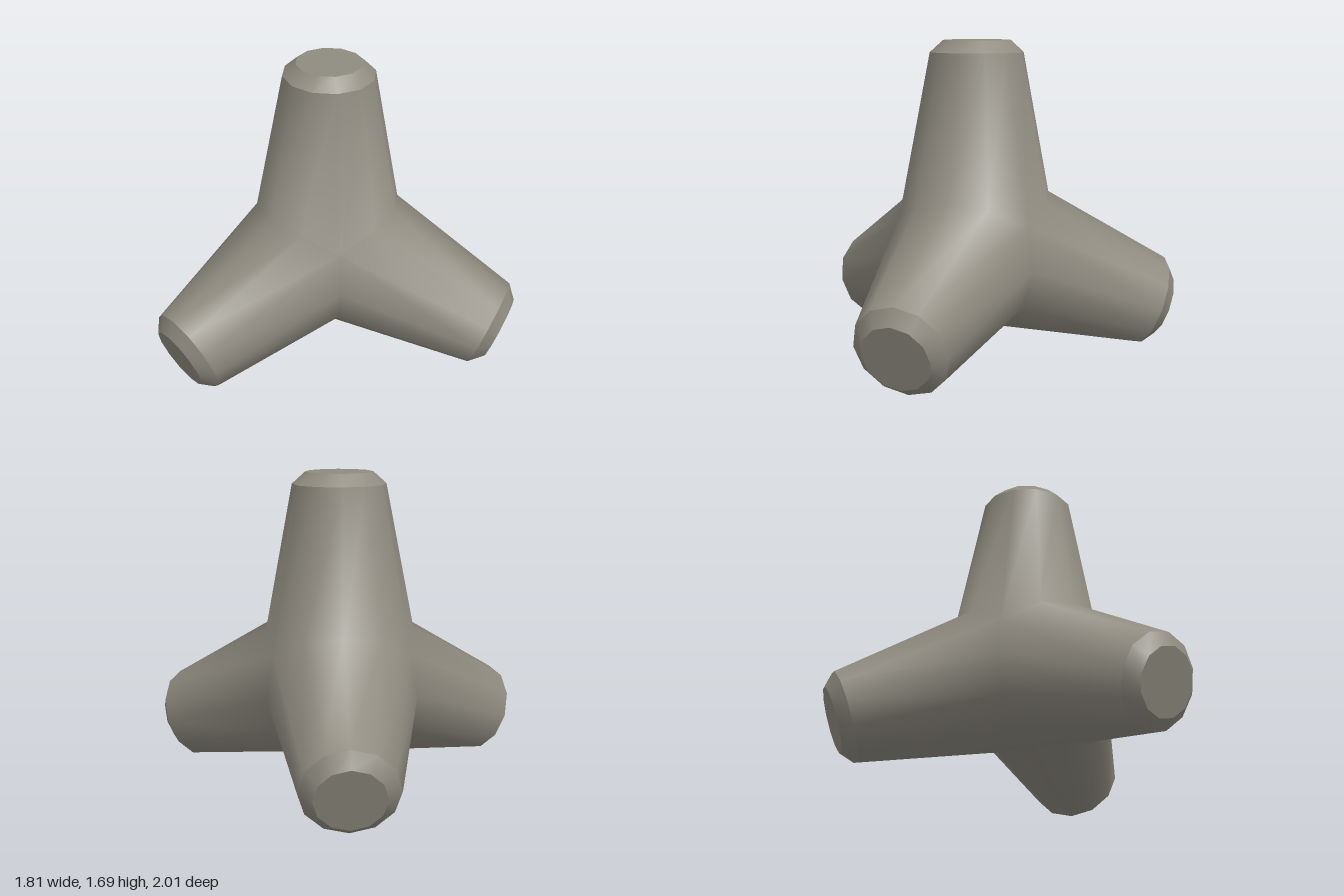
import * as THREE from 'three';
import { mergeVertices } from 'three/addons/utils/BufferGeometryUtils.js';

const SIDES = 12;
const RIM_AT = 1.038, RIM_R = 0.253; // where the taper ends and the chamfer starts
const TIP_AT = 1.102, TIP_R = 0.182;
const TAPER = 0.19;
const ROOT_R = RIM_R + TAPER * RIM_AT; // radius of the cone at the hub centre
const COS = Math.sqrt(8) / 3; // cosine of the low legs' slope

export function createModel() {
  const model = new THREE.Group();
  const concrete = new THREE.MeshStandardMaterial({ color: 0x8f8b80 });
  concrete.name = 'concrete';

  // four axes of a regular tetrahedron: one up, three spread below
  const axes = [new THREE.Vector3(0, 1, 0)];
  for (let k = 0; k < 3; k++) {
    const a = Math.PI + k * Math.PI * 2 / 3;
    axes.push(new THREE.Vector3(COS * Math.cos(a), -1 / 3, COS * Math.sin(a)));
  }

  // one ring of points around an axis; at(phi) gives [distance, radius]
  const ring = (u, w, b, at) => Array.from({ length: SIDES }, (_, i) => {
    const phi = i / SIDES * Math.PI * 2;
    const [t, r] = at(phi);
    return u.clone().multiplyScalar(t)
      .addScaledVector(w, r * Math.cos(phi))
      .addScaledVector(b, r * Math.sin(phi));
  });
  const band = (out, low, high) => {
    for (let i = 0; i < SIDES; i++) {
      const j = (i + 1) % SIDES;
      for (const p of [low[i], low[j], high[j], low[i], high[j], high[i]]) out.push(p);
    }
  };
  const addMesh = (name, points) => {
    let geo = new THREE.BufferGeometry().setFromPoints(points);
    geo = mergeVertices(geo, 1e-4);
    geo.computeVertexNormals();
    const mesh = new THREE.Mesh(geo, concrete);
    mesh.name = name;
    model.add(mesh);
  };

  // where a cone's ruling meets the mirror plane of the nearest other leg
  const seam = (phi) => {
    const third = Math.PI * 2 / 3;
    const c = COS * Math.cos(phi - Math.round(phi / third) * third);
    const t = c * ROOT_R / (4 / 3 + c * TAPER);
    return [t, ROOT_R - TAPER * t];
  };

  const body = [];
  const names = ['top', 'right', 'back', 'front'];
  axes.forEach((u, n) => {
    const other = axes[(n + 1) % 4];
    const w = other.clone().addScaledVector(u, -other.dot(u)).normalize();
    const b = new THREE.Vector3().crossVectors(u, w);
    const root = ring(u, w, b, seam);
    const rim = ring(u, w, b, () => [RIM_AT, RIM_R]);
    const tip = ring(u, w, b, () => [TIP_AT, TIP_R]);
    band(body, root, rim);

    const chamfer = [];
    band(chamfer, rim, tip);
    addMesh(names[n] + 'Chamfer', chamfer);

    const cap = [];
    const centre = u.clone().multiplyScalar(TIP_AT);
    for (let i = 0; i < SIDES; i++) cap.push(centre, tip[i], tip[(i + 1) % SIDES]);
    addMesh(names[n] + 'EndCap', cap);
  });
  // the four tapered legs share their seams, so shading flows across the joints
  addMesh('legs', body);

  model.name = 'breakwaterBlock';
  model.position.set(0.193, 0.586, 0);
  const root = new THREE.Group();
  root.add(model);
  return root;
}
